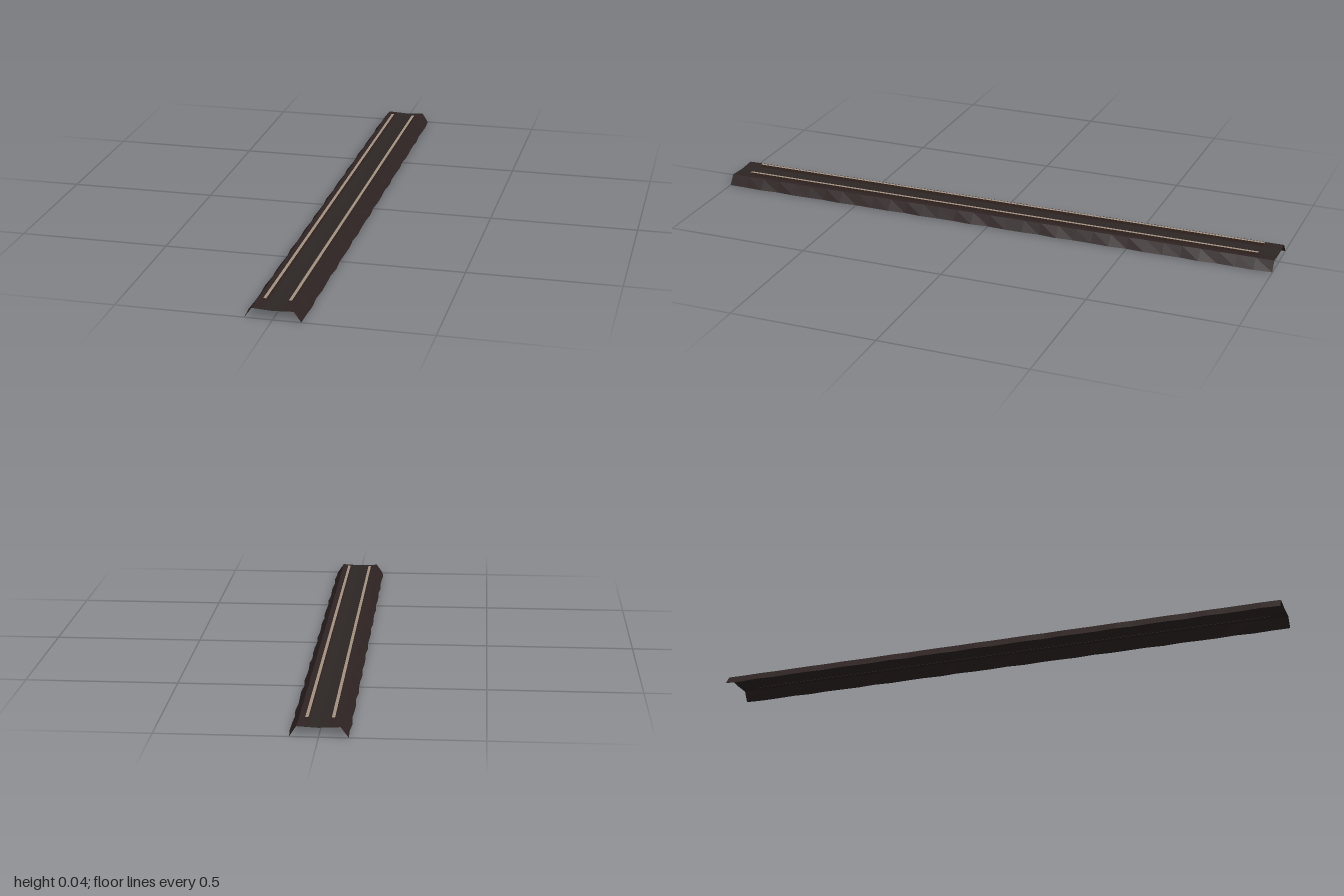
import * as THREE from 'three';

const mat = (name, color, flatShading = false) =>
  Object.assign(new THREE.MeshStandardMaterial({ color, side: THREE.DoubleSide, flatShading }), { name });

// Open strip swept along z; profile runs from -x to +x, wobble shifts each section point
function sweep(profile, z0, z1, steps, wobble = () => [0, 0]) {
  const pos = [], index = [], n = profile.length;
  for (let i = 0; i <= steps; i++) {
    const z = z0 + (z1 - z0) * i / steps;
    profile.forEach(([x, y], j) => {
      const [dx, dy] = wobble(i, x, y);
      pos.push(x + dx, y + dy, z);
      if (i < steps && j < n - 1) {
        const a = i * n + j, b = a + n;
        index.push(a, b, a + 1, a + 1, b, b + 1);
      }
    });
  }
  const g = new THREE.BufferGeometry();
  g.setAttribute('position', new THREE.Float32BufferAttribute(pos, 3));
  g.setIndex(index);
  g.computeVertexNormals();
  return g;
}

export function createModel() {
  const group = new THREE.Group();
  const gravel = mat('dark brown gravel', 0x2f2424, true);
  const centre = mat('grey brown track centre', 0x2d2624, true);
  const rust = mat('rusty rail side', 0x3a2a24, true);
  const steel = mat('worn rail top', 0xa39282, true);

  const add = (name, geometry, material) => {
    const mesh = new THREE.Mesh(geometry, material);
    mesh.name = name;
    group.add(mesh);
  };

  // Slightly uneven foot and shoulder of the embankment
  const uneven = (i, x, y) => {
    const s = Math.sin(i * 2.4 + (x > 0 ? 1.3 : 0));
    if (y === 0) return [-Math.sign(x) * 0.0025 * (1 + s), 0];
    return y > 0.032 ? [0.001 * s, 0] : [0, 0];
  };

  // Trackbed: sloping flanks with shoulders, and the sunken middle
  add('leftBank', sweep([[0.03, 0.031], [0.066, 0.033], [0.093, 0]], -1, 1, 32, uneven), gravel);
  add('rightBank', sweep([[-0.093, 0], [-0.066, 0.033], [-0.03, 0.031]], -1, 1, 32, uneven), gravel);
  add('trackCentre', sweep([[-0.03, 0.031], [0, 0.0295], [0.03, 0.031]], -1, 1, 32), centre);

  // Rails: hollow strips with open ends
  for (const [side, x] of [['left', 0.04], ['right', -0.04]]) {
    const w = 0.005, top = 0.042, foot = 0.031, end = 0.94;
    add(side + 'RailTop', sweep([[x - w, top], [x + w, top]], -end, end, 1), steel);
    add(side + 'RailOuterSide', sweep([[x - w, foot], [x - w, top]], -end, end, 1), rust);
    add(side + 'RailInnerSide', sweep([[x + w, top], [x + w, foot]], -end, end, 1), rust);
  }
  return group;
}
